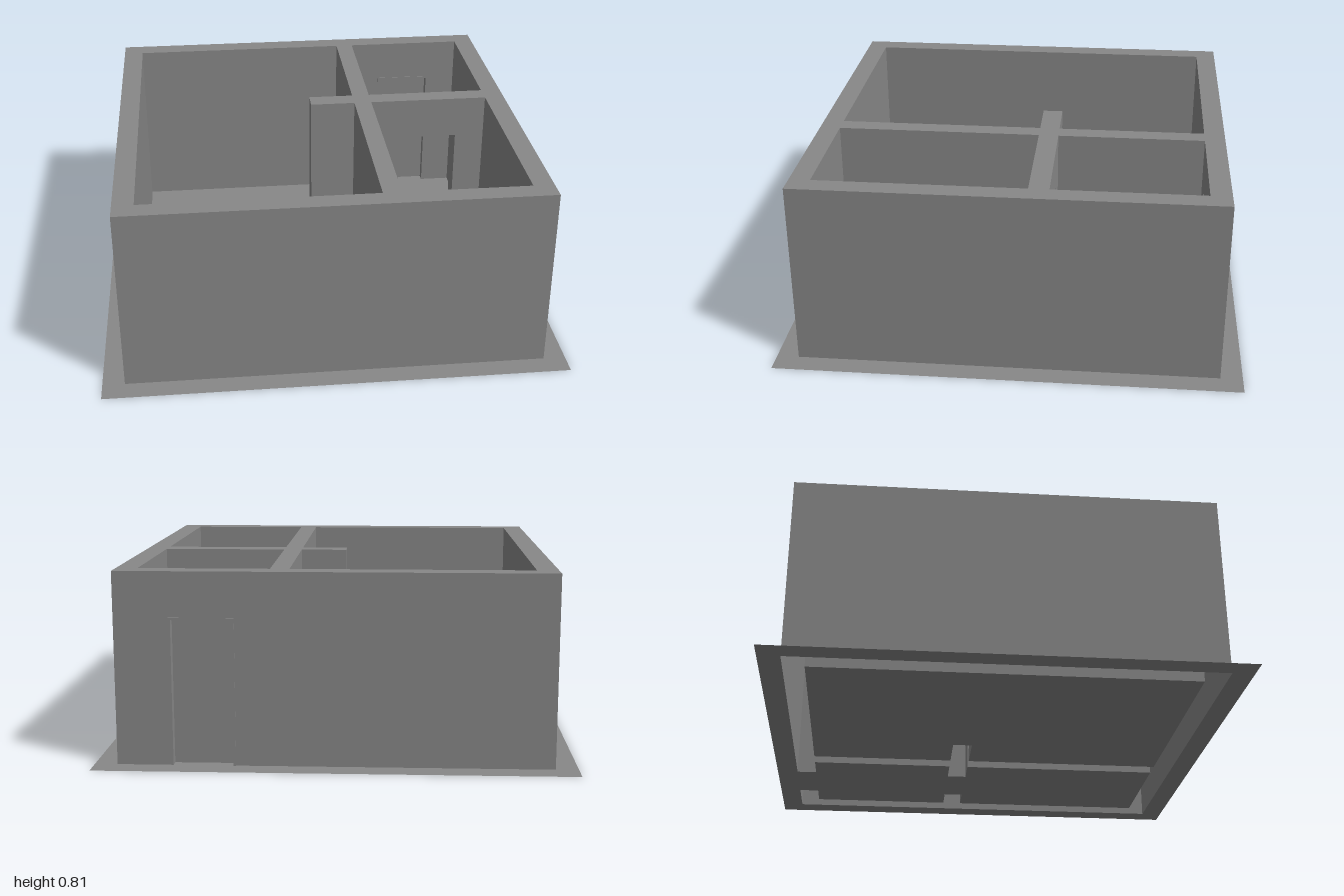
import * as THREE from 'three';

const H = 0.81, DOOR_H = 0.62;          // wall and door heights
const O = 0.905, I = 0.815;             // outer and inner faces of the outer walls
const P0 = 0.19, P1 = 0.27;             // long partition, in x
const C0 = -0.17, C1 = -0.083;          // cross partition, in z
const D0 = 0.41, D1 = 0.68;             // doorways, in x

const material = new THREE.MeshStandardMaterial({ color: 0x888888, side: THREE.DoubleSide });

// plan points are [x, z]
const plan = (pts) => pts.map(([x, z]) => new THREE.Vector2(x, -z));
const rect = (x0, z0, x1, z1) => [[x0, z0], [x1, z0], [x1, z1], [x0, z1]];

function add(group, geometry, name) {
  const mesh = new THREE.Mesh(geometry, material);
  mesh.name = name;
  group.add(mesh);
  return mesh;
}

// flat horizontal surface facing up
function slab(outline, holes, y) {
  const shape = new THREE.Shape(plan(outline));
  shape.holes = holes.map((h) => new THREE.Path(plan(h)));
  return new THREE.ShapeGeometry(shape).rotateX(-Math.PI / 2).translate(0, y, 0);
}

// vertical faces along a closed plan outline; a hole faces inward
function sides(outline, y0, y1, isHole = false) {
  const pts = plan(outline);
  if (THREE.ShapeUtils.isClockWise(pts) !== isHole) pts.reverse();
  const pos = [];
  pts.forEach((a, i) => {
    const b = pts[(i + 1) % pts.length];
    pos.push(a.x, y0, -a.y, b.x, y0, -b.y, b.x, y1, -b.y);
    pos.push(a.x, y0, -a.y, b.x, y1, -b.y, a.x, y1, -a.y);
  });
  const g = new THREE.BufferGeometry();
  g.setAttribute('position', new THREE.Float32BufferAttribute(pos, 3));
  g.computeVertexNormals();
  return g;
}

export function createModel() {
  const model = new THREE.Group();
  model.name = 'house';

  const outer = rect(-O, -O, O, O);
  const backRoom = rect(P1, -I, I, C0);
  const frontRoom = rect(P1, C1, I, I);
  // large room with the wall stub poking into it
  const largeRoom = [[-I, -I], [P0, -I], [P0, C0], [-0.015, C0], [-0.015, C1], [P0, C1], [P0, I], [-I, I]];
  // wall footprint at floor level, running in and out through both doorways
  const footprint = [
    [-O, -O], [D0, -O], [D0, -I], [P1, -I], [P1, C0], [D0, C0], [D0, C1], [P1, C1],
    [P1, I], [I, I], [I, C1], [D1, C1], [D1, C0], [I, C0], [I, -I], [D1, -I],
    [D1, -O], [O, -O], [O, O], [-O, O],
  ];

  // ground, open beneath the hollow walls
  add(model, slab(rect(-1, -1, 1, 1), [footprint], 0), 'ground');
  add(model, slab(largeRoom, [], 0), 'largeRoomFloor');

  // walls up to door height, then the unbroken band above
  const walls = new THREE.Group();
  walls.name = 'walls';
  model.add(walls);
  add(walls, sides(footprint, 0, DOOR_H), 'lowerWalls');
  add(walls, sides(outer, DOOR_H, H), 'upperOuterWalls');
  add(walls, sides(largeRoom, 0, H, true), 'largeRoomWalls');
  add(walls, sides(backRoom, DOOR_H, H, true), 'upperBackRoomWalls');
  add(walls, sides(frontRoom, DOOR_H, H, true), 'upperFrontRoomWalls');
  add(walls, slab(outer, [largeRoom, backRoom, frontRoom], H), 'wallTops');

  // undersides above the doorways
  for (const [z0, z1, name] of [[-O, -I, 'outerDoorLintel'], [C0, C1, 'innerDoorLintel']]) {
    const g = new THREE.PlaneGeometry(D1 - D0, z1 - z0).rotateX(Math.PI / 2);
    add(walls, g, name).position.set((D0 + D1) / 2, DOOR_H, (z0 + z1) / 2);
  }

  // slim frame lining the outer doorway
  const t = 0.01;
  const frame = new THREE.Shape([
    [D0, 0], [D0 + t, 0], [D0 + t, DOOR_H - t], [D1 - t, DOOR_H - t],
    [D1 - t, 0], [D1, 0], [D1, DOOR_H], [D0, DOOR_H],
  ].map(([x, y]) => new THREE.Vector2(x, y)));
  const frameGeo = new THREE.ExtrudeGeometry(frame, { depth: O - I + 0.006, bevelEnabled: false });
  add(model, frameGeo, 'doorFrame').position.z = -O - 0.003;

  // closed door leaf, set back midway in the frame
  const leaf = new THREE.BoxGeometry(D1 - D0 - 2 * t, DOOR_H - t, 0.016);
  add(model, leaf, 'door').position.set((D0 + D1) / 2, (DOOR_H - t) / 2, -(O + I) / 2);

  return model;
}
